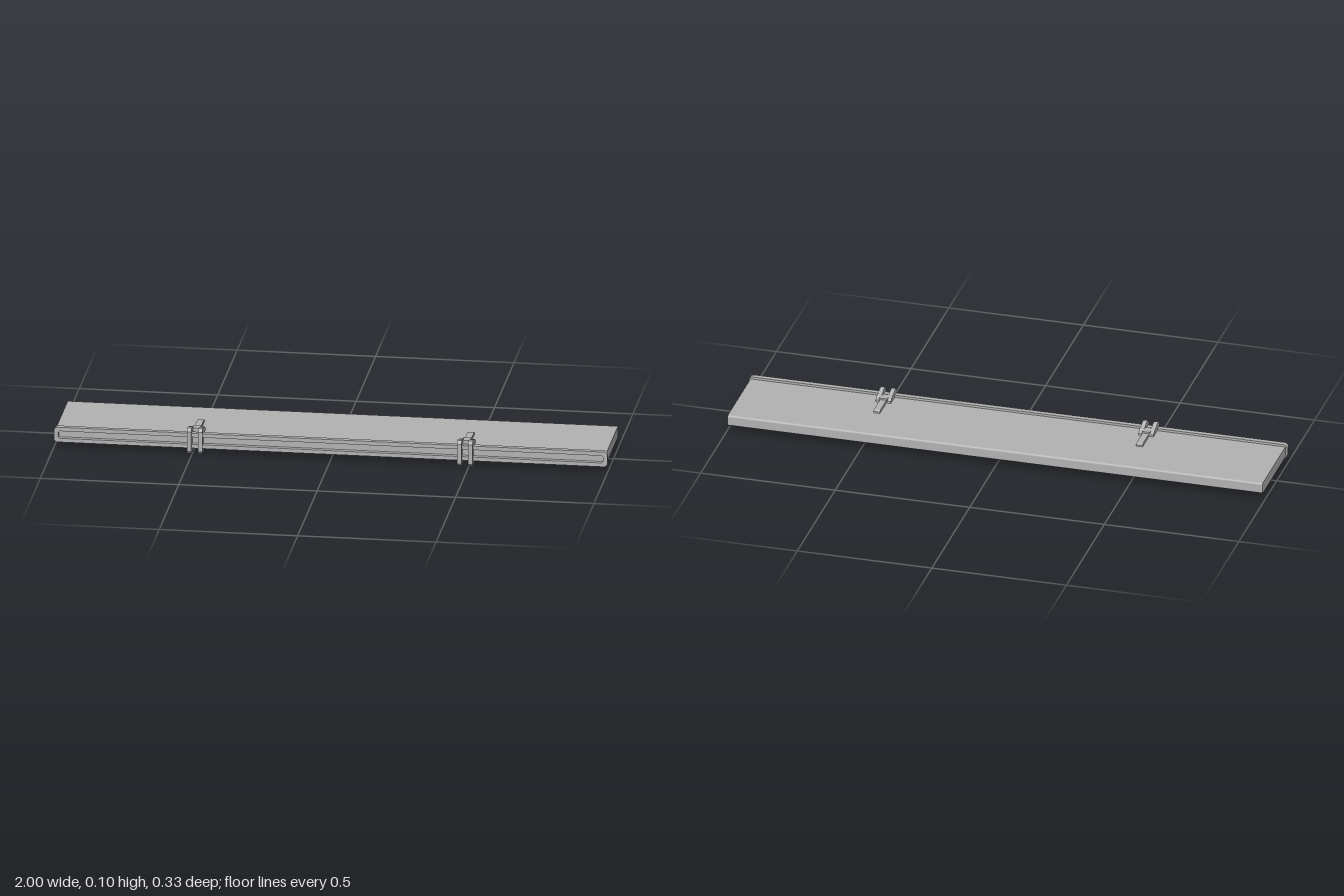
import * as THREE from 'three';

const grey = new THREE.MeshStandardMaterial({ color: 0xb2b2b2 });
grey.name = 'plain grey';
const MID = 0.05; // height of the horizontal symmetry plane

// Rounded rectangle outline, centred on the origin
function roundedRect(Type, w, h, r) {
  const s = new Type();
  const x = w / 2, y = h / 2;
  s.moveTo(-x + r, -y);
  s.lineTo(x - r, -y);
  s.absarc(x - r, -y + r, r, -Math.PI / 2, 0);
  s.lineTo(x, y - r);
  s.absarc(x - r, y - r, r, 0, Math.PI / 2);
  s.lineTo(-x + r, y);
  s.absarc(-x + r, y - r, r, Math.PI / 2, Math.PI);
  s.lineTo(-x, -y + r);
  s.absarc(-x + r, -y + r, r, Math.PI, Math.PI * 1.5);
  return s;
}

// Extrude a (z, y) side profile across x, centred on x = 0
function sideExtrude(shape, width) {
  const g = new THREE.ExtrudeGeometry(shape, { depth: width, bevelEnabled: false, curveSegments: 5 });
  g.translate(0, 0, -width / 2);
  return g.rotateY(-Math.PI / 2);
}

function add(parent, name, geometry, x = 0, y = 0, z = 0) {
  const m = new THREE.Mesh(geometry, grey);
  m.name = name;
  m.position.set(x, y, z);
  parent.add(m);
  return m;
}

// Upper half of a profile mirrored about y = 0 into a closed shape
function mirroredShape(half) {
  const lower = half.slice().reverse().map(([z, y]) => [z, -y]);
  return new THREE.Shape([...half, ...lower].map(([z, y]) => new THREE.Vector2(z, y)));
}

function makeClip() {
  const clip = new THREE.Group();
  clip.name = 'clip';
  // Two hooked side plates wrapping the rim
  const plate = mirroredShape([
    [0.166, 0.037], [0.153, 0.048], [0.137, 0.048], [0.115, 0.039],
    [0.104, 0.039], [0.084, 0.028],
  ]);
  for (const s of [-1, 1]) add(clip, 'clipSidePlate', sideExtrude(plate, 0.016), s * 0.02, MID, 0);
  // Bridges and long fingers above and below the panel
  const finger = new THREE.Shape([
    [0.12, 0.02], [0.12, 0.031], [0.006, 0.031], [-0.002, 0.026], [-0.002, 0.02],
  ].map(([z, y]) => new THREE.Vector2(z, y)));
  for (const s of [1, -1]) {
    add(clip, 'clipBridge', new THREE.BoxGeometry(0.03, 0.016, 0.036), 0, MID + s * 0.029, 0.102);
    const f = add(clip, 'clipFinger', sideExtrude(finger, 0.024), 0, MID, 0);
    if (s < 0) f.rotation.z = Math.PI;
  }
  return clip;
}

export function createModel() {
  const model = new THREE.Group();
  model.name = 'clippedPanel';

  // Long flat panel with a softened back edge
  const r = 0.007, back = -0.166, front = 0.138, h = 0.0205;
  const section = new THREE.Shape();
  section.moveTo(front, -h);
  section.lineTo(front, h);
  section.lineTo(back + r, h);
  section.absarc(back + r, h - r, r, Math.PI / 2, Math.PI);
  section.lineTo(back, -h + r);
  section.absarc(back + r, -h + r, r, Math.PI, Math.PI * 1.5);
  add(model, 'panel', sideExtrude(section, 1.988), 0, MID, 0);

  // Raised rim around a shallow front recess
  const rim = roundedRect(THREE.Shape, 2, 0.056, 0.014);
  rim.holes.push(roundedRect(THREE.Path, 1.968, 0.027, 0.008));
  add(model, 'frontRim',
    new THREE.ExtrudeGeometry(rim, { depth: 0.019, bevelEnabled: false, curveSegments: 5 }),
    0, MID + 0.001, 0.136);

  // Two clips gripping the rim
  for (const x of [-0.49, 0.486]) {
    const clip = makeClip();
    clip.position.x = x;
    model.add(clip);
  }
  return model;
}
